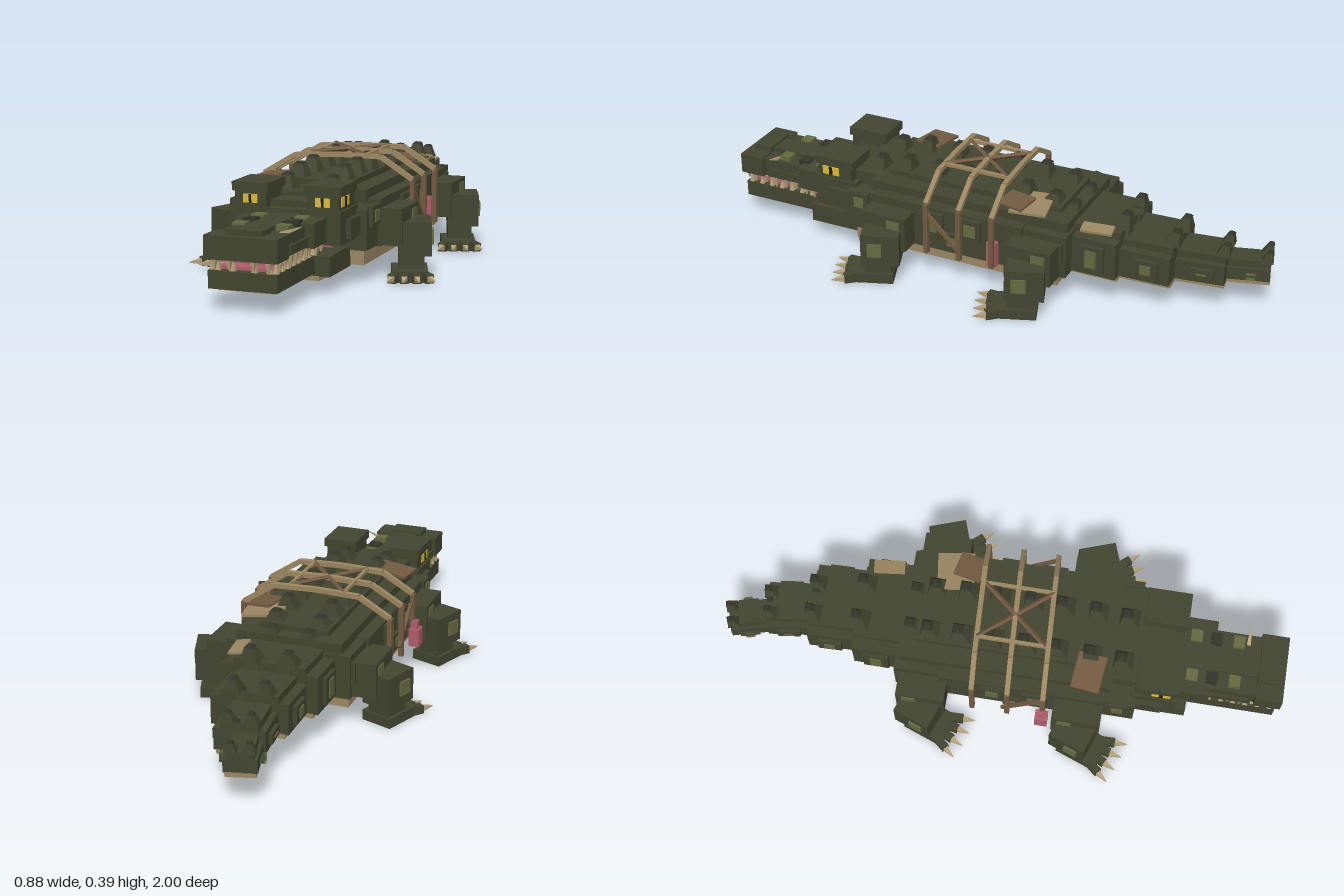
import * as THREE from 'three';

const mat = (name, color, extra = {}) => {
  const m = new THREE.MeshStandardMaterial({ color, ...extra });
  m.name = name;
  return m;
};

export function createModel() {
  const root = new THREE.Group();
  root.name = 'crocodile';
  const hide = mat('dark green hide', 0x424530);
  const dark = mat('darker hide', 0x33352a);
  const moss = mat('moss green', 0x646a40);
  const belly = mat('belly tan', 0x9a8662);
  const rope = mat('rope tan', 0x9c8660);
  const brown = mat('brown patch', 0x735a42);
  const pink = mat('mouth pink', 0xb05c6c);
  const bone = mat('bone', 0xb5a27a);
  const yellow = mat('eye yellow', 0xdcbc34);
  const black = mat('pupil black', 0x1c1c16);

  const add = (name, geo, m, parent = root) => {
    const mesh = new THREE.Mesh(geo, m);
    mesh.name = name;
    parent.add(mesh);
    return mesh;
  };
  // box given by its bounds
  const box = (name, m, x0, x1, y0, y1, z0, z1, parent = root) => {
    const b = add(name, new THREE.BoxGeometry(x1 - x0, y1 - y0, z1 - z0), m, parent);
    b.position.set((x0 + x1) / 2, (y0 + y1) / 2, (z0 + z1) / 2);
    return b;
  };
  const wide = (name, m, w, y0, y1, z0, z1, parent) => box(name, m, -w, w, y0, y1, z0, z1, parent);
  const pair = (name, m, x0, x1, y0, y1, z0, z1, parent) => {
    box(name, m, x0, x1, y0, y1, z0, z1, parent);
    box(name, m, -x1, -x0, y0, y1, z0, z1, parent);
  };
  // four-sided cone or truncated pyramid, faces square to the axes
  const pyramid = (bottom, top, h, lean = 0) => {
    const g = new THREE.CylinderGeometry(top * Math.SQRT1_2, bottom * Math.SQRT1_2, h, 4).toNonIndexed();
    g.rotateY(Math.PI / 4);
    const p = g.attributes.position;
    for (let i = 0; i < p.count; i++) p.setZ(i, p.getZ(i) - (p.getY(i) + h / 2) * lean);
    g.computeVertexNormals();
    return g;
  };
  const spines = (x, y, z, size, h, parent) => {
    for (const s of [-1, 1]) {
      add('backSpine', pyramid(size, size * 0.4, h, 0.25), hide, parent).position.set(s * x, y + h / 2, z);
      add('spineTip', pyramid(size * 0.5, size * 0.3, 0.008), dark, parent)
        .position.set(s * x, y + h, z - h * 0.25);
    }
  };

  // trunk
  wide('belly', belly, 0.205, 0.06, 0.115, -0.32, 0.46);
  wide('trunk', hide, 0.235, 0.11, 0.27, -0.2, 0.38);
  wide('trunkBack', hide, 0.19, 0.26, 0.3, -0.35, 0.4);
  wide('trunkRidge', hide, 0.125, 0.29, 0.32, -0.3, 0.36);
  wide('hips', hide, 0.225, 0.11, 0.265, -0.36, -0.18);
  wide('neck', hide, 0.225, 0.115, 0.25, 0.36, 0.49);
  wide('neckTop', hide, 0.15, 0.24, 0.3, 0.36, 0.5);
  for (const [z, y, h] of [[0.43, 0.295, 0.05], [0.32, 0.31, 0.055], [0.2, 0.315, 0.055], [0.09, 0.315, 0.06],
    [-0.03, 0.315, 0.06], [-0.14, 0.315, 0.055], [-0.25, 0.31, 0.045]]) spines(0.08, y, z, 0.075, h);
  // raised scales with mossy centres along the flanks
  for (const [x, y, z, s] of [[0.235, 0.21, 0.14, 0.045], [0.235, 0.22, -0.01, 0.04], [0.225, 0.225, 0.43, 0.035],
    [0.225, 0.2, -0.31, 0.04], [0.235, 0.16, 0.06, 0.03]]) {
    pair('flankScale', hide, x - 0.01, x + 0.014, y - s, y + s, z - s, z + s);
    pair('flankMoss', moss, x + 0.012, x + 0.018, y - s * 0.55, y + s * 0.55, z - s * 0.55, z + s * 0.55);
  }

  // head and eyes
  wide('head', hide, 0.188, 0.155, 0.265, 0.47, 0.63);
  wide('headCrown', hide, 0.08, 0.25, 0.285, 0.48, 0.59);
  wide('cheeks', hide, 0.205, 0.17, 0.235, 0.48, 0.58);
  for (const s of [-1, 1]) {
    const eye = new THREE.Group();
    eye.name = 'eye';
    eye.scale.x = 1;
    eye.position.x = s * 0.125;
    root.add(eye);
    wide('eyeBlock', hide, 0.055, 0.255, 0.335, 0.49, 0.625, eye);
    wide('brow', hide, 0.063, 0.315, 0.345, 0.48, 0.632, eye);
    box('eyeFront', yellow, -0.025, 0.025, 0.277, 0.306, 0.62, 0.629, eye);
    box('pupilFront', black, -0.004, 0.004, 0.277, 0.306, 0.622, 0.631, eye);
    const e = s * 0.055;
    box('eyeSide', yellow, e - 0.004, e + 0.004, 0.277, 0.308, 0.54, 0.605, eye);
    box('pupilSide', black, e - 0.006, e + 0.006, 0.277, 0.308, 0.566, 0.579, eye);
  }

  // upper jaw
  wide('snoutBase', hide, 0.14, 0.165, 0.245, 0.6, 0.74);
  wide('snout', hide, 0.11, 0.165, 0.235, 0.72, 0.92);
  wide('noseBlock', hide, 0.122, 0.165, 0.24, 0.9, 0.995);
  wide('noseTop', hide, 0.062, 0.235, 0.258, 0.9, 0.97);
  wide('snoutRidge', hide, 0.045, 0.23, 0.25, 0.63, 0.9);
  pair('snoutRim', hide, 0.1, 0.12, 0.17, 0.2, 0.74, 0.88);
  for (const [z, m] of [[0.67, moss], [0.74, dark], [0.82, moss]])
    pair('snoutScale', m, 0.052, 0.095, 0.23, 0.253, z - 0.02, z + 0.02);
  // lower jaw and mouth
  wide('lowerJaw', hide, 0.115, 0.07, 0.128, 0.62, 0.98);
  wide('jawHinge', hide, 0.165, 0.06, 0.127, 0.48, 0.67);
  wide('jawUnderside', belly, 0.13, 0.046, 0.062, 0.52, 0.67);
  wide('chin', belly, 0.095, 0.061, 0.071, 0.66, 0.95);
  wide('palate', pink, 0.1, 0.155, 0.168, 0.5, 0.97);
  wide('tongue', pink, 0.09, 0.124, 0.138, 0.5, 0.95);
  wide('throat', pink, 0.12, 0.12, 0.17, 0.46, 0.53);
  // teeth
  const tooth = (x, y, z, h, up) => {
    const t = add('tooth', pyramid(0.018, 0.004, h), bone);
    t.position.set(x, y + (up ? h / 2 : -h / 2), z);
    if (!up) t.rotation.x = Math.PI;
  };
  for (const s of [-1, 1]) {
    for (let i = 0; i < 8; i++) {
      const z = 0.64 + i * 0.043;
      tooth(s * (i < 2 ? 0.125 : 0.108), 0.167, z, 0.03 + (i % 3) * 0.006, false);
      tooth(s * 0.105, 0.126, z + 0.02, 0.026 + (i % 2) * 0.012, true);
    }
    for (const x of [0.04, 0.09]) {
      tooth(s * x, 0.168, 0.985, 0.036, false);
      tooth(s * (x - 0.004), 0.126, 0.965, 0.045, true);
    }
  }
  const stick = add('boneSplinter', pyramid(0.016, 0.003, 0.08), bone);
  stick.position.set(0.105, 0.24, 0.855);
  stick.rotation.z = -1.2;

  // legs: shoulder, knee, shin, foot and claws
  const leg = (s, z, yaw) => {
    const g = new THREE.Group();
    g.name = z > 0 ? 'frontLeg' : 'hindLeg';
    g.position.set(s * 0.22, 0, z);
    root.add(g);
    const b = (name, m, x0, x1, ...r) => s > 0 ? box(name, m, x0, x1, ...r, g) : box(name, m, -x1, -x0, ...r, g);
    b('shoulder', hide, -0.03, 0.09, 0.115, 0.24, -0.09, 0.08);
    b('shoulderMoss', moss, 0.086, 0.094, 0.185, 0.225, -0.07, -0.02);
    const thigh = b('thigh', hide, 0.05, 0.16, 0.08, 0.195, -0.075, 0.06);
    thigh.rotation.y = s * yaw;
    const patch = b('thighMoss', moss, 0.162, 0.17, 0.115, 0.165, -0.035, 0.015);
    patch.rotation.y = s * yaw;
    const shin = b('shin', hide, 0.055, 0.14, 0.025, 0.1, -0.04, 0.055);
    shin.rotation.y = s * yaw;
    const foot = new THREE.Group();
    foot.name = 'foot';
    foot.position.set(s * 0.1, 0, 0.03);
    foot.rotation.y = s * yaw;
    g.add(foot);
    wide('footPad', hide, 0.06, 0, 0.036, -0.075, 0.075, foot);
    [-0.05, -0.016, 0.018, 0.052].forEach((x, i) => {
      const a = x * 7;
      const toe = new THREE.Group();
      toe.name = 'toe';
      toe.position.set(x, 0.017, 0.065);
      toe.rotation.y = a;
      foot.add(toe);
      wide('toeBlock', hide, 0.014, -0.015, 0.015, -0.01, 0.035, toe);
      const claw = add('claw', pyramid(0.02, 0.003, 0.045), bone, toe);
      claw.rotation.x = Math.PI / 2;
      claw.position.z = 0.056;
    });
  };
  for (const s of [-1, 1]) {
    leg(s, 0.3, 0.35);
    leg(s, -0.25, 0.35);
  }

  // tail: [centre x, half width, height, z length, centre z, yaw, spine height]
  for (const [x, w, top, len, z, yaw, sh] of [[0, 0.172, 0.275, 0.2, -0.42, 0, 0.055],
    [0, 0.135, 0.245, 0.19, -0.6, 0.03, 0.05], [-0.025, 0.085, 0.215, 0.18, -0.765, 0.13, 0.042],
    [-0.075, 0.055, 0.185, 0.155, -0.91, 0.27, 0.038]]) {
    const g = new THREE.Group();
    g.name = 'tailSegment';
    g.position.set(x, 0, z);
    g.rotation.y = yaw;
    root.add(g);
    const h = len / 2;
    wide('tailBlock', hide, w, 0.115, top - 0.025, -h, h, g);
    wide('tailTop', hide, w * 0.75, top - 0.03, top, -h, h, g);
    wide('tailBelly', belly, w * 0.9, 0.1, 0.117, -h, h, g);
    pair('tailScale', hide, w - 0.01, w + 0.014, 0.135, top - 0.045, -h * 0.6, h * 0.3, g);
    pair('tailMoss', moss, w + 0.01, w + 0.018, 0.15, top - 0.06, -h * 0.35, h * 0.05, g);
    for (const t of [-0.5, 0.5]) spines(w * 0.32 + 0.012, top - 0.003, t * len * 0.95 + 0.01, 0.03 + w * 0.22, sh, g);
  }

  // ropes over the back
  const cord = (name, a, b, r, m = rope) => {
    const p = new THREE.Vector3(...a), q = new THREE.Vector3(...b);
    const c = add(name, pyramid(r * 2, r * 2, p.distanceTo(q)), m);
    c.position.copy(p).add(q).multiplyScalar(0.5);
    c.quaternion.setFromUnitVectors(new THREE.Vector3(0, 1, 0), q.sub(p).normalize());
  };
  for (const z of [-0.09, 0.035, 0.16]) {
    const pts = [[-0.268, 0.11], [-0.268, 0.3], [-0.155, 0.368], [0, 0.376], [0.155, 0.374], [0.268, 0.3], [0.268, 0.11]]
      .map(([x, y]) => [x, y, z - x * 0.05]);
    for (let i = 0; i < 6; i++) cord('strap', pts[i], pts[i + 1], 0.0085, i % 5 ? rope : brown);
  }
  for (const s of [-1, 1]) {
    cord('crossRope', [-0.1, 0.378, s * 0.12 + 0.035], [0.1, 0.378, -s * 0.12 + 0.035], 0.006, brown);
    cord('sideRope', [s * 0.1, 0.376, -0.09], [s * 0.1, 0.376, 0.16], 0.006);
    cord('flankRope', [s * 0.268, 0.27, 0.15], [s * 0.268, 0.15, 0.03], 0.006, brown);
  }
  // pink bundles hanging from the straps
  box('bundle', pink, -0.3, -0.262, 0.105, 0.17, 0.15, 0.195);
  box('bundleNeck', pink, -0.29, -0.268, 0.165, 0.2, 0.16, 0.185);
  box('bundle', pink, 0.235, 0.262, 0.11, 0.2, -0.115, -0.08);

  // loose patches on the back
  const patch = (m, x, y, z, w, d, yaw, roll) => {
    const p = add('backPatch', new THREE.BoxGeometry(w, 0.009, d), m);
    p.position.set(x, y, z);
    p.rotation.set(0, yaw, roll);
  };
  patch(brown, -0.15, 0.326, 0.315, 0.13, 0.1, -0.1, 0.1);
  patch(belly, 0.145, 0.324, -0.2, 0.14, 0.13, 0.15, -0.08);
  patch(brown, 0.165, 0.333, -0.15, 0.09, 0.1, -0.2, -0.1);
  patch(belly, 0.14, 0.28, -0.44, 0.05, 0.11, 0.12, -0.15);
  return root;
}
